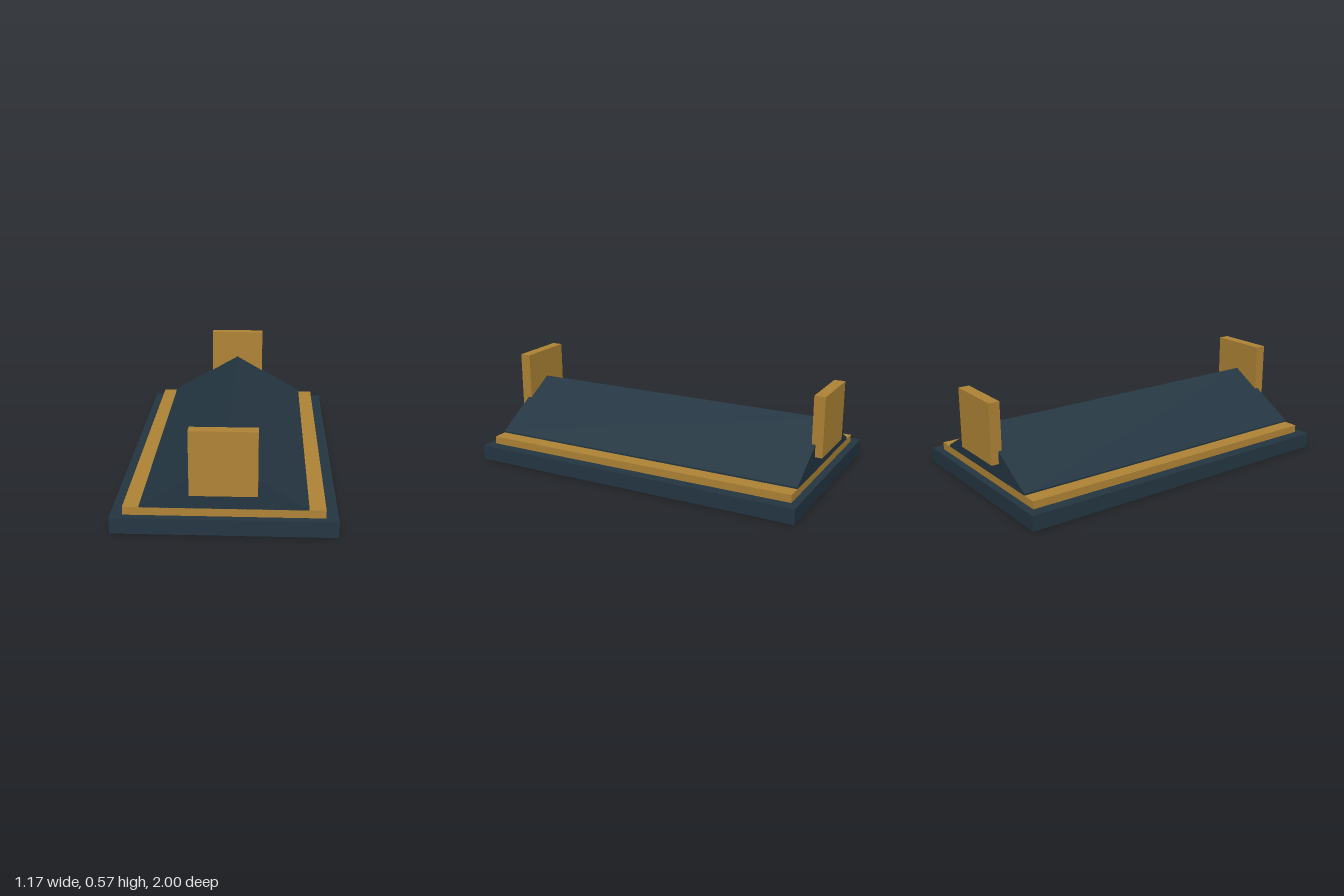
import * as THREE from 'three';

export function createModel() {
  const group = new THREE.Group();
  const slate = new THREE.MeshStandardMaterial({ color: 0x243642 });
  slate.name = 'dark slate';
  const gold = new THREE.MeshStandardMaterial({ color: 0xb08436 });
  gold.name = 'old gold';

  const add = (name, geometry, material, x = 0, y = 0, z = 0) => {
    const mesh = new THREE.Mesh(geometry, material);
    mesh.name = name;
    mesh.position.set(x, y, z);
    group.add(mesh);
  };

  // Stepped plinth: wide base with a gold slab on it
  add('base', new THREE.BoxGeometry(1.174, 0.087, 2), slate, 0, 0.0435, 0);
  add('trimSlab', new THREE.BoxGeometry(1.044, 0.044, 1.914), gold, 0, 0.109, 0);

  // Gabled roof with short upright eaves
  const gable = new THREE.Shape([
    new THREE.Vector2(-0.435, 0.13),
    new THREE.Vector2(0.435, 0.13),
    new THREE.Vector2(0.435, 0.141),
    new THREE.Vector2(0, 0.393),
    new THREE.Vector2(-0.435, 0.141),
  ]);
  const roof = new THREE.ExtrudeGeometry(gable, { depth: 1.914, bevelEnabled: false });
  add('roof', roof, slate, 0, 0, -0.957);

  // Upright plaques at both gable ends
  for (const [name, side] of [['frontPlaque', 1], ['backPlaque', -1]]) {
    add(name, new THREE.BoxGeometry(0.348, 0.347, 0.064), gold, 0, 0.3935, side * 0.968);
  }

  return group;
}
